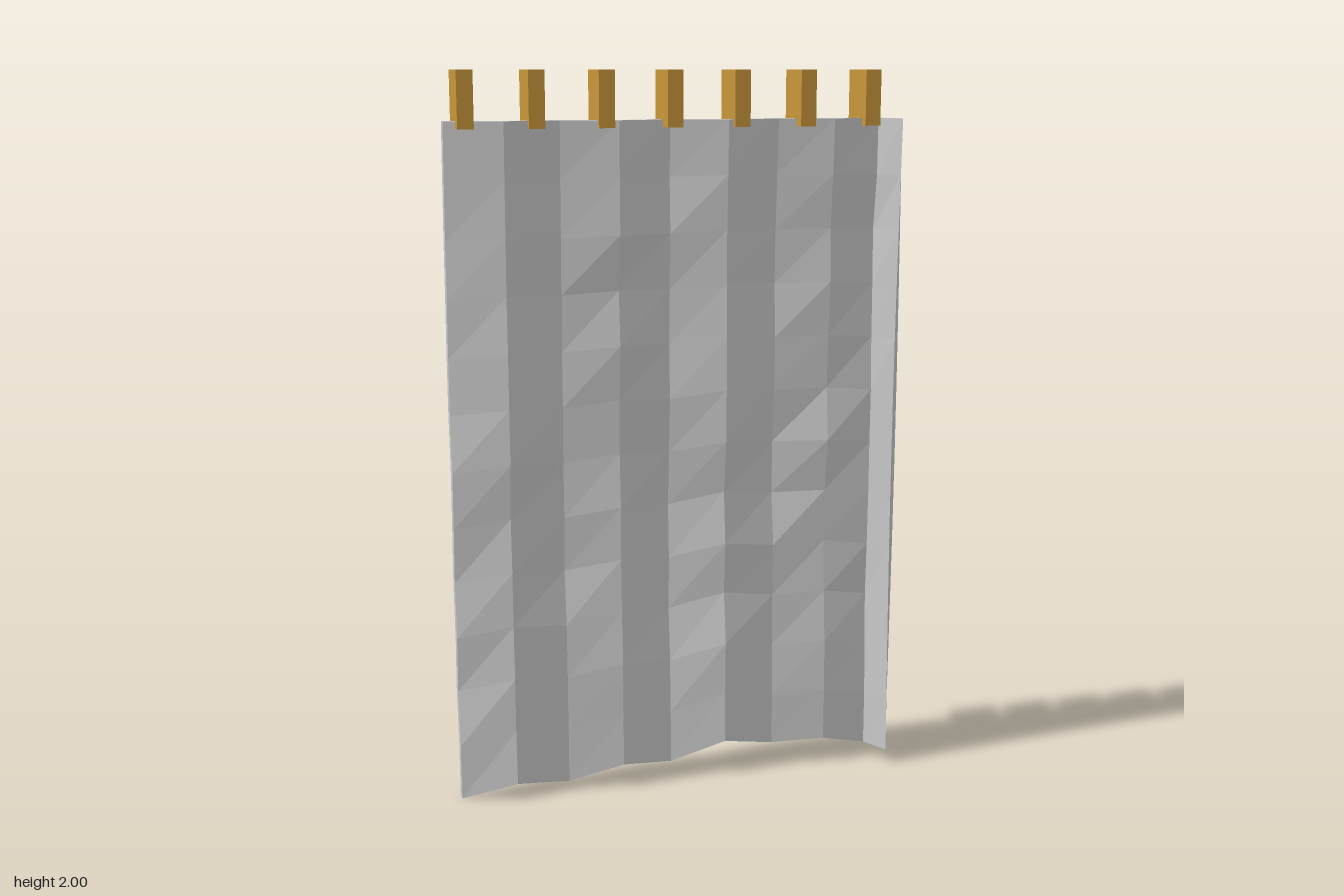
import * as THREE from 'three';

// Pleat columns: x, z of the cloth's middle at the top, height of the ragged hem
const COLUMNS = [
  [-0.635, -0.015, 0.0], [-0.484, 0.03, 0.045], [-0.33, -0.005, 0.022],
  [-0.177, 0.025, 0.066], [-0.024, -0.03, 0.037], [0.127, 0.015, 0.1],
  [0.279, -0.018, 0.066], [0.43, 0.01, 0.074], [0.563, -0.005, 0.042], [0.606, 0.068, 0.04],
];
const ROWS = 12, TOP = 1.87, THICKNESS = 0.03;

// Repeatable noise in -1..1
function wobble(i, j) {
  const s = Math.sin(i * 127.1 + j * 311.7) * 43758.5453;
  return (s - Math.floor(s)) * 2 - 1;
}

// Front (side = 1) or back (side = -1) point of the cloth
function clothPoint(i, j, side) {
  const [x, z, hem] = COLUMNS[i];
  const t = j / ROWS;
  const sag = Math.sin(Math.PI * t);
  const last = i === COLUMNS.length - 1;
  const noise = last ? 0 : wobble(i, j) * 0.012 * Math.min(1, sag * 2);
  const px = last && side < 0 ? x + 0.008 + 0.013 * sag : x;
  const half = last ? 0.013 : THICKNESS / 2;
  return [px, hem + (TOP - hem) * t, z - 0.018 * sag + noise + side * half];
}

function clothGeometry() {
  const n = COLUMNS.length, positions = [], index = [];
  for (const side of [1, -1])
    for (let j = 0; j <= ROWS; j++)
      for (let i = 0; i < n; i++) positions.push(...clothPoint(i, j, side));
  const back = n * (ROWS + 1);
  const id = (i, j) => j * n + i;
  const quad = (a, b, c, d) => index.push(a, b, c, a, c, d);

  // Front and back sheets
  for (let j = 0; j < ROWS; j++)
    for (let i = 0; i < n - 1; i++) {
      const a = id(i, j), b = id(i + 1, j), c = id(i + 1, j + 1), d = id(i, j + 1);
      quad(a, b, c, d);
      quad(back + b, back + a, back + d, back + c);
    }
  // Bottom and top rims
  for (let i = 0; i < n - 1; i++) {
    const a = id(i, 0), b = id(i + 1, 0), c = id(i, ROWS), d = id(i + 1, ROWS);
    quad(back + a, back + b, b, a);
    quad(c, d, back + d, back + c);
  }
  // Side rims
  for (let j = 0; j < ROWS; j++) {
    const a = id(0, j), b = id(0, j + 1), c = id(n - 1, j), d = id(n - 1, j + 1);
    quad(back + a, a, b, back + b);
    quad(c, back + c, back + d, d);
  }
  const g = new THREE.BufferGeometry();
  g.setAttribute('position', new THREE.Float32BufferAttribute(positions, 3));
  g.setIndex(index);
  g.computeVertexNormals();
  return g;
}

export function createModel() {
  const model = new THREE.Group();
  model.name = 'curtain';

  const cloth = new THREE.Mesh(clothGeometry(),
    new THREE.MeshStandardMaterial({ color: 0xcccccc, flatShading: true }));
  cloth.name = 'cloth';
  model.add(cloth);

  // Hanging clips along the top edge
  const clips = new THREE.Group();
  clips.name = 'clips';
  const clipGeometry = new THREE.BoxGeometry(0.043, 0.15, 0.128);
  const clipMaterial = new THREE.MeshStandardMaterial({ color: 0xc8963a });
  for (let i = 0; i < 7; i++) {
    const clip = new THREE.Mesh(clipGeometry, clipMaterial);
    clip.name = 'clip' + (i + 1);
    clip.position.set(-0.582 + i * 0.186, 1.925, -0.022);
    clips.add(clip);
  }
  model.add(clips);
  return model;
}
